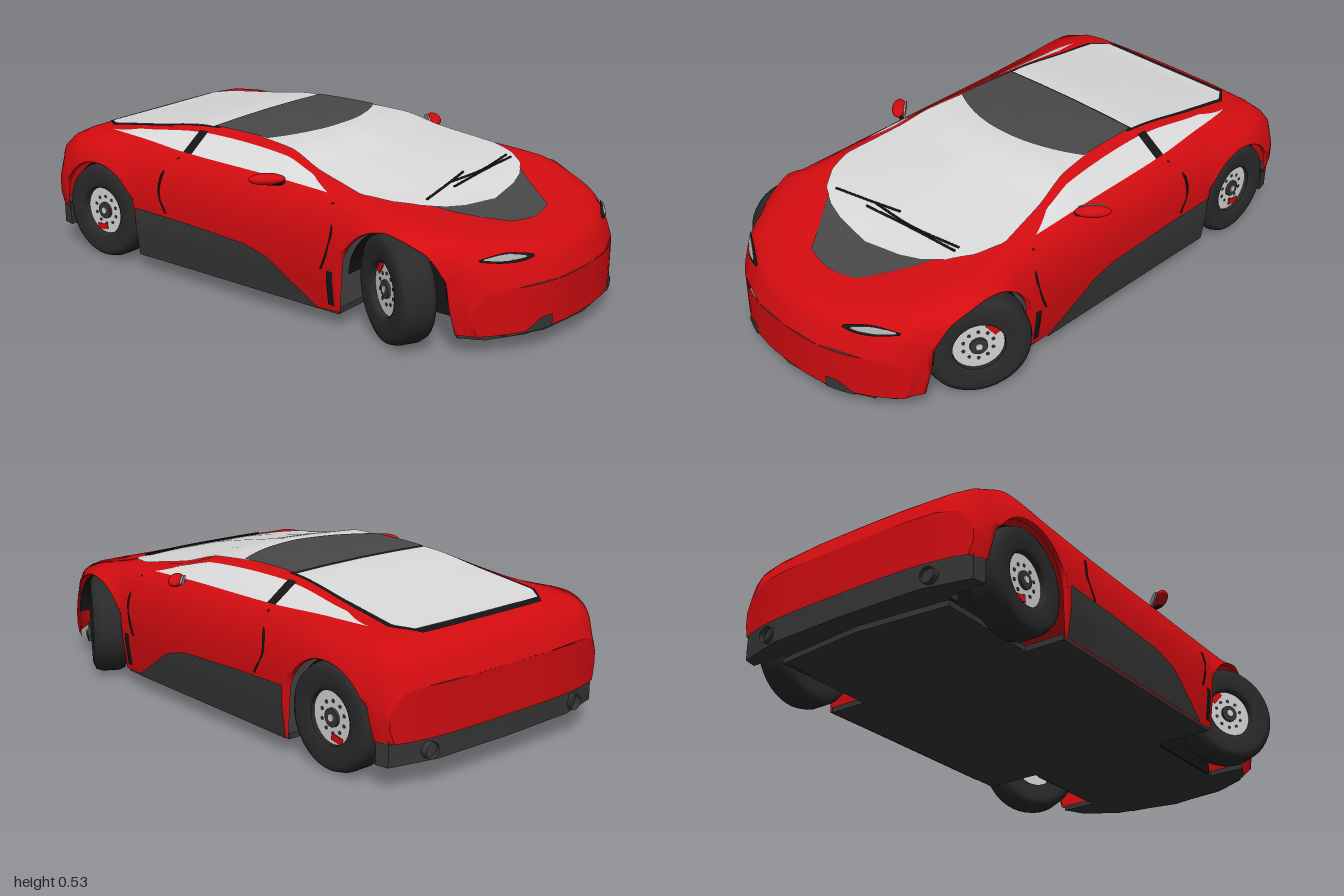
import * as THREE from 'three';

const paint = (color) => new THREE.MeshStandardMaterial({ color, side: THREE.DoubleSide });
const M = {
  red: paint(0xd20c10), glass: paint(0xd9d9d9), roof: paint(0x484848), trim: paint(0x363636),
  tyre: paint(0x2a2a2a), black: paint(0x151515), rim: paint(0xd4d4d4), lamp: paint(0xa8a8a8),
};
for (const k in M) M[k].name = k;

// Body stations: z, centre height, roof edge x y, belt x y, shoulder y, half width
const ROWS = [
  [-1, .32, .35, .32, .42, .31, .29, .47],
  [-.96, .395, .35, .39, .43, .385, .37, .49],
  [-.9, .435, .35, .435, .42, .43, .41, .502],
  [-.8, .45, .345, .452, .40, .448, .43, .507],
  [-.6, .485, .335, .478, .40, .45, .42, .507],
  [-.35, .518, .31, .512, .415, .44, .41, .505],
  [.05, .518, .335, .505, .425, .435, .40, .505],
  [.2, .492, .365, .465, .43, .43, .395, .505],
  [.55, .415, .39, .41, .435, .41, .385, .505],
  [.65, .37, .37, .395, .43, .40, .38, .503],
  [.85, .335, .32, .355, .41, .35, .33, .475],
  [.93, .315, .31, .325, .40, .315, .29, .45],
  [.97, .285, .30, .285, .39, .275, .255, .43],
  [1, .22, .30, .22, .38, .215, .20, .42],
];
const SILL = [[-.9, .155], [-.7, .055], [.3, .055], [.6, .07]];
const FRONT = { z: .58, y: .18, r: .18 }, REAR = { z: -.71, y: .175, r: .175 };

// Smooth interpolation of the stations
function row(z) {
  let i = 0;
  while (i < ROWS.length - 2 && ROWS[i + 1][0] < z) i++;
  const b = ROWS[i], c = ROWS[i + 1], a = ROWS[i - 1] || b, d = ROWS[i + 2] || c;
  const h = c[0] - b[0], t = (z - b[0]) / h, s = t * t * (3 - 2 * t);
  return b.map((_, j) => {
    const m0 = (c[j] - a[j]) / (c[0] - a[0]) * h, m1 = (d[j] - b[j]) / (d[0] - b[0]) * h;
    return b[j] + (c[j] - b[j]) * s + m0 * t * (1 - t) ** 2 - m1 * t * t * (1 - t);
  });
}
// Piecewise linear lookup in [key, value] pairs with rising keys
function lin(tab, z) {
  if (z <= tab[0][0]) return tab[0][1];
  for (let i = 1; i < tab.length; i++) if (z <= tab[i][0]) {
    const [a, b] = [tab[i - 1], tab[i]];
    return THREE.MathUtils.lerp(a[1], b[1], (z - a[0]) / (b[0] - a[0]));
  }
  return tab[tab.length - 1][1];
}
// Rounds the nose and tail in plan
function warp(z, x) {
  const f = Math.max(0, (z - .45) / .55) ** 1.5, r = Math.max(0, (-z - .8) / .2);
  return z - f * .16 * (Math.abs(x) / .42) ** 2.6 + r * .05 * (Math.abs(x) / .48) ** 4;
}
// Half cross-section from the centre line down to the sill, cut by the wheel arches
function section(z) {
  const [, yc, xr, yr, xb, yb, ys, w] = row(z), zz = warp(z, w);
  let yl = lin(SILL, z);
  for (const a of [FRONT, REAR]) {
    const d = (a.r + .01) ** 2 - (zz - a.z) ** 2;
    if (d > 0) yl = Math.min(a.y + Math.sqrt(d), ys - .012);
  }
  const ym = Math.min(Math.max(Math.min(.285, ys - .04), yl + .005), ys - .004);
  return [[0, yc], [xr * .5, yc + (yr - yc) * .3], [xr, yr], [xb, yb], [w - .026, ys], [w, ym],
    [w, (ym + yl) / 2], [w - .015, yl]];
}
const topAt = (x, z, lift) => [x, lin(section(z).slice(0, 6), Math.abs(x)) + lift, warp(z, x)];
function sideAt(y, z, lift) {
  const x = lin(section(z).slice(2).reverse().map(([px, py]) => [py, px]), y);
  return [x + lift, y, warp(z, x)];
}

export function createModel() {
  const car = new THREE.Group();
  car.name = 'sportsCar';
  const add = (name, geo, mat, parent = car) => {
    const m = new THREE.Mesh(geo, mat);
    m.name = name;
    parent.add(m);
    return m;
  };
  // Grid surface from fn(u, v)
  const grid = (name, mat, nu, nv, fn) => {
    const pos = [], idx = [];
    for (let i = 0; i <= nu; i++) for (let j = 0; j <= nv; j++) pos.push(...fn(i / nu, j / nv));
    for (let i = 0; i < nu; i++) for (let j = 0; j < nv; j++) {
      const a = i * (nv + 1) + j, b = a + nv + 1;
      idx.push(a, a + 1, b, b, a + 1, b + 1);
    }
    const g = new THREE.BufferGeometry();
    g.setAttribute('position', new THREE.Float32BufferAttribute(pos, 3));
    g.setIndex(idx);
    g.computeVertexNormals();
    add(name, g, mat);
  };
  // Thin panel on the upper surface; c0 and c1 bow its two ends
  const topPatch = (name, mat, z0, z1, half, lift, c0 = 0, c1 = 0) => grid(name, mat, 40, 24, (u, v) => {
    const t = v * 2 - 1, z = z0 + (z1 - z0) * u - t * t * (c0 + (c1 - c0) * u);
    return topAt(t * lin(half, z), z, lift);
  });
  // Thin panel on both flanks
  const sidePatch = (name, mat, z0, z1, low, high, lift = .004) => [1, -1].forEach((s) =>
    grid(name, mat, 40, 8, (u, v) => {
      const z = z0 + (z1 - z0) * u, p = sideAt(THREE.MathUtils.lerp(low(z), high(z), v), z, lift);
      return [p[0] * s, p[1], p[2]];
    }));
  const tube = (name, mat, pts, r) => add(name, new THREE.TubeGeometry(
    new THREE.CatmullRomCurve3(pts.map((p) => new THREE.Vector3(...p))), 20, r, 6), mat);
  // Horizontal slab from half an outline in x, z
  const slab = (name, mat, half, top, depth) => {
    const all = [...half, ...half.map(([x, z]) => [-x, z]).reverse()];
    const g = new THREE.ExtrudeGeometry(new THREE.Shape(all.map((p) => new THREE.Vector2(...p))),
      { depth, bevelEnabled: false });
    add(name, g.rotateX(Math.PI / 2), mat).position.y = top;
  };

  // Painted shell with nose and tail faces
  grid('bodyShell', M.red, 180, 14, (u, v) => {
    const j = Math.round(v * 14) - 7, z = -1 + 2 * u, [x, y] = section(z)[Math.abs(j)];
    return [x * Math.sign(j), y, warp(z, x)];
  });
  for (const [name, z] of [['noseFace', 1], ['tailFace', -1]]) {
    const p = section(z);
    grid(name, M.red, 5, 24, (u, v) => {
      const [x, y] = p[2 + Math.round(u * 5)], t = (v * 2 - 1) * x;
      return [t, y, warp(z, t)];
    });
  }

  // Hood insert, glass and roof
  topPatch('hoodInsert', M.roof, .59, .81, [[.58, .28], [.66, .22], [.81, .10]], .003, 0, .02);
  topPatch('windshield', M.glass, -.1, .655, [[-.1, .3], [.05, .32], [.2, .355], [.4, .392], [.5, .36],
    [.58, .3], [.62, .22], [.645, .11], [.655, 0]], .005);
  topPatch('roofPanel', M.roof, -.32, .02, [[-.3, .295], [0, .305]], .008, 0, .09);
  topPatch('rearWindowSeal', M.black, -.885, -.3, [[-.885, .27], [-.8, .335], [-.3, .3]], .003);
  topPatch('rearWindow', M.glass, -.86, -.325, [[-.86, .28], [-.8, .32], [-.32, .295]], .006);

  const belt = (z) => row(z)[5] + .004;
  const glassTop = (z, f) => THREE.MathUtils.lerp(belt(z), row(z)[3], f);
  sidePatch('doorWindow', M.glass, -.325, .29, belt, (z) => glassTop(z, .84 * Math.min(1, (.29 - z) / .1)));
  sidePatch('quarterWindow', M.glass, -.76, -.365, belt, (z) => glassTop(z, .82 * Math.min(1, (z + .76) / .12)));
  sidePatch('centrePillar', M.black, -.365, -.325, belt, (z) => glassTop(z, .9));

  // Side skirts and fender vents
  const skirt = [[-.53, .235], [-.3, .23], [0, .215], [.1, .19], [.2, .125], [.3, .06]];
  sidePatch('sideSkirt', M.trim, -.515, .3, () => .055, (z) => lin(skirt, z), .006);
  sidePatch('fenderVent', M.black, .345, .37, () => .08, () => .2, .003);

  // Door seams and wipers
  for (const s of [1, -1]) {
    const seam = (pts) => tube('doorSeam', M.black, pts.map(([y, z]) => {
      const p = sideAt(y, z, 0);
      return [p[0] * s, p[1], p[2]];
    }), .004);
    seam([[.43, -.36], [.38, -.395], [.31, -.405], [.24, -.37]]);
    seam([[.41, .33], [.33, .355], [.25, .34], [.2, .32]]);
  }
  for (const w of [[[-.26, .565], [-.12, .54], [.02, .515]], [[-.1, .56], [.1, .545], [.3, .535]],
    [[-.08, .535], [.1, .54], [.3, .515]]]) tube('wiper', M.black, w.map(([x, z]) => topAt(x, z, .01)), .004);

  // Headlights, front intakes, mirrors and exhausts
  for (const s of [1, -1]) {
    const lamp = (name, mat, x0, x1, h, lift) => grid(name, mat, 12, 4, (u, v) => {
      const z = .957 + (v - .5) * h * Math.sin(Math.PI * (.08 + .84 * u)) - .012 * u;
      const p = topAt(s * (x0 + (x1 - x0) * u), z, lift);
      return [p[0], p[1], p[2] + lift];
    });
    lamp('headlightSurround', M.black, .22, .385, .028, .004);
    lamp('headlight', M.lamp, .25, .375, .018, .007);
    grid('frontIntake', M.trim, 8, 2, (u, v) => {
      const x = .18 + .1 * u;
      return [s * x, .068 + v * .042 * Math.min(1, 1.7 - 1.6 * u), warp(1, x) + .005];
    });
    const mirror = new THREE.Group();
    mirror.name = 'sideMirror';
    mirror.position.set(s * .483, .448, .08);
    mirror.rotation.y = s * .8;
    car.add(mirror);
    add('mirrorHousing', new THREE.SphereGeometry(1, 20, 12), M.red, mirror).scale.set(.062, .019, .026);
    const face = add('mirrorGlass', new THREE.CylinderGeometry(1, 1, .006, 20).rotateX(Math.PI / 2), M.lamp, mirror);
    face.scale.set(.048, .014, 1);
    face.position.z = -.023;
    tube('mirrorArm', M.black, [[s * .425, .425, .11], [s * .45, .432, .1], [s * .485, .436, .085]], .009);
    add('exhaust', new THREE.CylinderGeometry(.027, .027, .08, 20, 1, true).rotateX(Math.PI / 2), M.trim)
      .position.set(s * .33, .115, -.955);
  }

  // Underside
  slab('floor', M.trim, [[0, .98], [.25, .935], [.37, .86], [.41, .78], [.27, .78], [.27, .38], [.485, .38],
    [.485, -.52], [.34, -.52], [.34, -.9], [0, -.93]], .07, .02);
  slab('frontSplitter', M.trim, [[0, .998], [.2, .975], [.33, .91], [.33, .85], [0, .85]], .082, .022);
  slab('rearDiffuser', M.trim, [[0, -.86], [.34, -.86], [.34, -.9], [.475, -.9], [.465, -.945], [.3, -.985],
    [0, -.993]], .17, .09);
  for (const [a, inner] of [[FRONT, .27], [REAR, .33]]) for (const s of [1, -1]) {
    const well = add('wheelWell', new THREE.CylinderGeometry(a.r + .008, a.r + .008, .45 - inner, 32, 1, true, 0, Math.PI)
      .rotateZ(Math.PI / 2), M.black);
    well.position.set(s * (.45 + inner) / 2, a.y, a.z);
    const wall = add('wellWall', new THREE.BoxGeometry(.01, .28, a.r * 2), M.black);
    wall.position.set(s * inner, .19, a.z);
  }

  // Wheels, the front pair steered
  const wheel = (s, a, x, steer, name) => {
    const g = new THREE.Group();
    g.name = name;
    g.position.set(s * x, a.y, a.z);
    g.rotation.y = steer;
    car.add(g);
    const r = a.r;
    const prof = [[.088, -.05], [.1, -.058], [.15, -.062], [r - .008, -.052], [r, -.03], [r, .03], [r - .008, .052],
      [.15, .062], [.1, .058], [.088, .05], [.086, 0], [.088, -.05]].map((p) => new THREE.Vector2(...p));
    add('tyre', new THREE.LatheGeometry(prof, 40).rotateZ(Math.PI / 2), M.tyre, g);
    const disc = (label, rad, len, at, mat, y = 0, z = 0) => add(label,
      new THREE.CylinderGeometry(rad, rad, len, 28).rotateZ(Math.PI / 2), mat, g).position.set(s * at, y, z);
    disc('rim', .087, .05, .012, M.rim);
    disc('hub', .03, .012, .04, M.trim);
    disc('hubCap', .012, .012, .044, M.rim);
    for (let i = 0; i < 10; i++) {
      const t = i * Math.PI / 5;
      disc('rimHole', .006, .004, .037, M.trim, .052 * Math.cos(t), .052 * Math.sin(t));
    }
    const caliper = add('brakeCaliper', new THREE.BoxGeometry(.008, .05, .022), M.red, g);
    caliper.position.set(s * .036, a === FRONT ? .058 : -.066, a === FRONT ? -.048 : -.02);
    caliper.rotation.x = a === FRONT ? .7 : 1.4;
  };
  for (const s of [1, -1]) {
    wheel(s, FRONT, .443, -.52, 'frontWheel');
    wheel(s, REAR, .435, 0, 'rearWheel');
  }
  return car;
}
